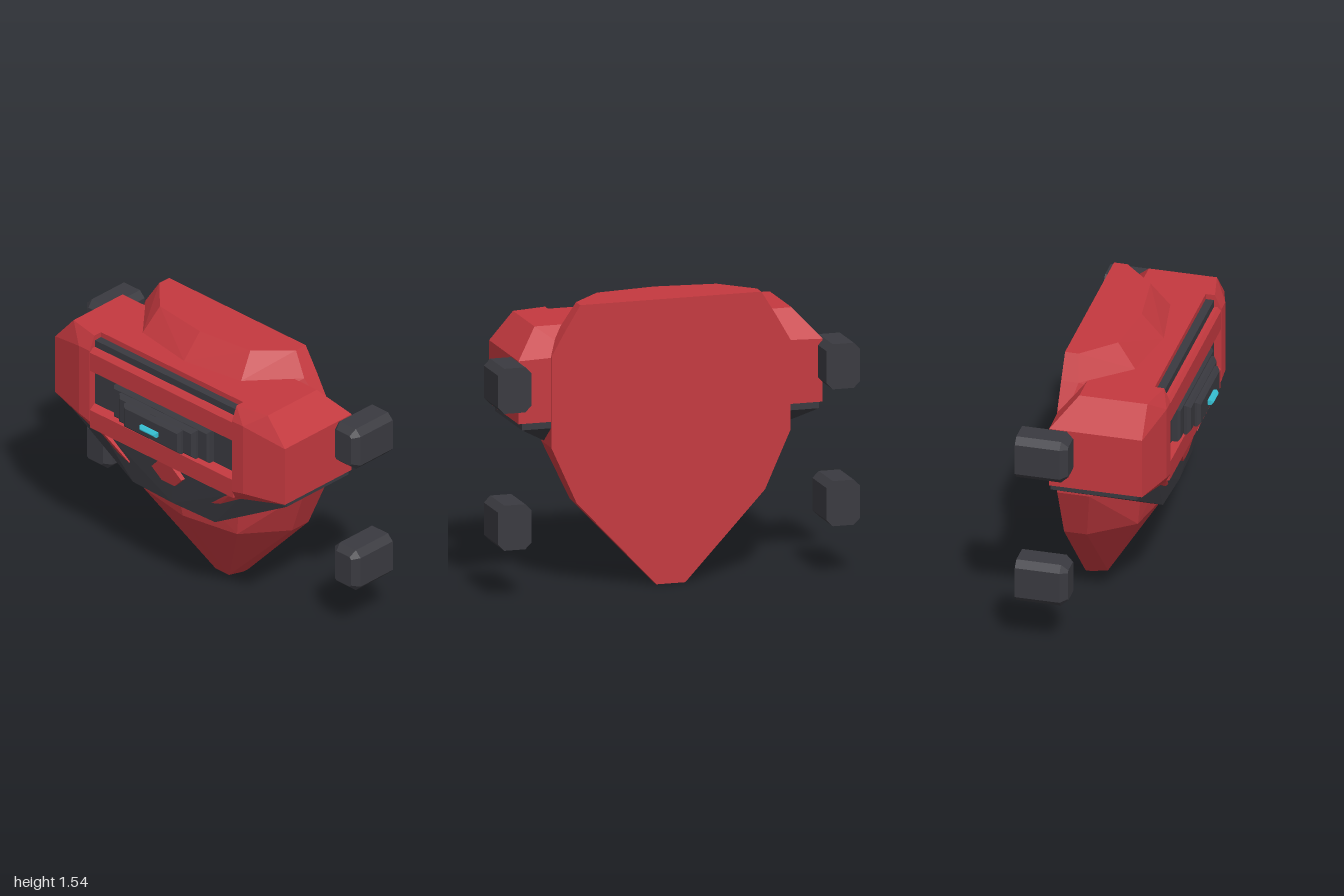
import * as THREE from 'three';
import { ConvexGeometry } from 'three/addons/geometries/ConvexGeometry.js';

const material = (name, color) => {
  const m = new THREE.MeshStandardMaterial({ color });
  m.name = name;
  return m;
};

export function createModel() {
  const model = new THREE.Group();
  model.name = 'armouredTorso';
  const red = material('red', 0xc4393f);
  const dark = material('charcoal', 0x3a3a40);
  const cyan = material('cyan', 0x35bfd2);

  // Flat-faced convex solid around a few corner points
  const hull = (name, mat, pts) => {
    const mesh = new THREE.Mesh(new ConvexGeometry(pts.map(p => new THREE.Vector3(...p))), mat);
    mesh.name = name;
    model.add(mesh);
    return mesh;
  };
  // Adds the same points on the other side of x = 0
  const mirrored = pts => pts.concat(pts.map(([x, y, z]) => [-x, y, z]));

  // Box between bounds, its front and back edges cut by f and b
  const block = (name, mat, [x0, x1], [y0, y1], [z0, z1], f, b = 0) => {
    const pts = [];
    for (const [z, c] of [[z0, b], [z0 + b, 0], [z1 - f, 0], [z1, f]])
      for (const x of [x0 + c, x1 - c]) for (const y of [y0 + c, y1 - c]) pts.push([x, y, z]);
    return hull(name, mat, pts);
  };

  // Inner body: tapers to the waist, rises to the collar
  // y, half width, side z, ridge x, ridge z, middle z
  const body = [
    [0, 0.08, -0.24, 0.05, -0.16, -0.16],
    [0.47, 0.52, -0.15, 0.34, 0.08, 0.14],
    [0.78, 0.66, -0.1, 0.4, 0.12, 0.2],
    [1.27, 0.66, -0.22, 0.42, 0.1, 0.2],
    [1.41, 0.58, -0.18, 0.36, 0.07, 0.13],
    [1.54, 0.5, -0.2, 0.33, -0.03, 0.01],
  ];
  hull('body', red, mirrored(body.flatMap(([y, w, zs, xm, zm, zf]) =>
    [[w, y, -0.274], [w, y, zs], [xm, y, zm], [0, y, zf]])));

  // Dark belt below the chest
  hull('belt', dark, mirrored([
    [0.82, 0.92, -0.268], [0.82, 0.92, 0.2], [0.55, 0.92, 0.245], [0, 0.92, 0.255],
    [0.82, 0.885, -0.268], [0.82, 0.885, 0.2], [0.55, 0.88, 0.243],
    [0.3, 0.58, 0.205], [0, 0.58, 0.217], [0.3, 0.58, 0.13],
  ]));

  // Chest core, recess and bars
  hull('chestCore', red, mirrored([
    [0.53, 0.92, -0.27], [0.53, 1.27, -0.27], [0.53, 1.41, -0.14],
    [0.53, 1.41, 0.22], [0.53, 0.92, 0.22],
  ]));
  block('chestRecess', dark, [-0.52, 0.52], [0.86, 1.38], [0.15, 0.265], 0);
  const bar = (name, profile) =>
    hull(name, red, mirrored(profile.map(([y, z]) => [0.522, y, z])));
  bar('upperBar', [[1.2, 0.25], [1.21, 0.303], [1.32, 0.303], [1.34, 0.285], [1.34, 0.25]]);
  bar('lowerBar', [[0.845, 0.24], [0.86, 0.3], [0.97, 0.303], [0.995, 0.27], [0.995, 0.24]]);

  for (const s of [1, -1]) {
    const side = s > 0 ? 'left' : 'right';
    // Chest side blocks with chamfered tops and backs
    hull(side + 'Chest', red, [
      [0.84, 0.92, -0.27], [0.84, 1.26, -0.27], [0.52, 0.92, -0.27], [0.52, 1.27, -0.27],
      [0.71, 1.41, -0.14], [0.52, 1.41, -0.14], [0.71, 1.41, 0.23], [0.52, 1.41, 0.27],
      [0.84, 1.26, 0.235], [0.84, 0.92, 0.235], [0.6, 1.33, 0.305], [0.52, 1.33, 0.305],
      [0.6, 0.92, 0.305], [0.52, 0.9, 0.305], [0.52, 0.85, 0.28],
    ].map(([x, y, z]) => [s * x, y, z]));

    // Slanted accents on the belt
    const accent = [[0.3, 0.71, 0.235], [0.37, 0.735, 0.238], [0.6, 0.88, 0.25], [0.47, 0.85, 0.27], [0.45, 0.82, 0.262]];
    hull(side + 'Accent', red, accent.flatMap(([x, y, z]) => [[s * x, y, z], [s * x, y, 0.18]]));

    // Pods: eight-sided prisms with bevelled fronts
    for (const [level, y] of [['Upper', 1.14], ['Lower', 0.4]]) {
      const pod = [];
      const ring = (w, h, c, z) => {
        for (const a of [1, -1]) for (const b of [1, -1])
          pod.push([s * 0.907 + a * w, y + b * (h - c), z], [s * 0.907 + a * (w - c), y + b * h, z]);
      };
      ring(0.093, 0.122, 0.035, -0.415);
      ring(0.093, 0.122, 0.035, -0.172);
      ring(0.06, 0.09, 0.012, -0.135);
      hull(side + level + 'Pod', dark, pod);
    }
  }

  // Raised badge in the middle of the belt
  const badge = [[0.115, 0.78], [0.05, 0.845], [0.05, 0.715]];
  hull('beltBadge', red, mirrored(badge.flatMap(([x, y]) =>
    [[x, y, 0.2], [x * 0.95, y, 0.25 + (y - 0.715) * 0.2]])));

  // Stepped emitter and its light
  block('emitterBase', dark, [-0.35, 0.35], [1.0, 1.19], [0.25, 0.31], 0.012);
  block('emitterStep', dark, [-0.28, 0.28], [1.01, 1.18], [0.3, 0.348], 0.018, 0.015);
  block('emitterFace', dark, [-0.208, 0.208], [1.025, 1.165], [0.34, 0.383], 0.016, 0.012);
  block('emitterLight', cyan, [-0.062, 0.062], [1.08, 1.107], [0.375, 0.415], 0.011, 0.011);

  return model;
}
